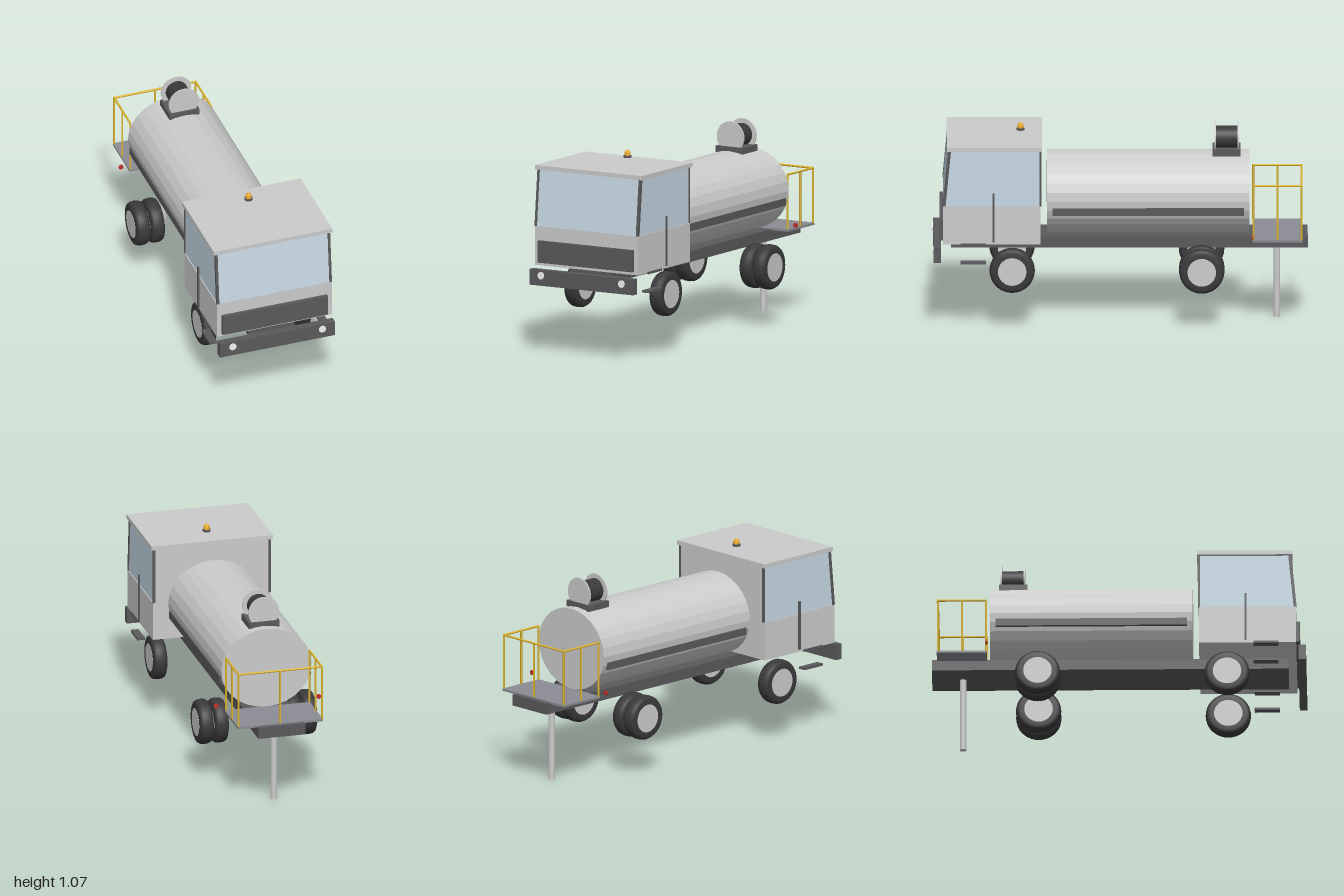
import * as THREE from 'three';

const mat = (color, extra = {}) => new THREE.MeshStandardMaterial({ color, ...extra });

export function createModel() {
  const model = new THREE.Group();
  const grey = mat(0xcccccc);
  const flatGrey = mat(0xcccccc, { flatShading: true });
  const dark = mat(0x5a5a5c);
  const rubber = mat(0x3a3a3c);
  const glass = mat(0xc6d8e3);
  const deck = mat(0x8c8d94);
  const yellow = mat(0xe0b830);
  const amber = mat(0xe8a92c);
  const red = mat(0xc03028);
  const lamp = mat(0xf4f4ee);

  const add = (name, geometry, material, x = 0, y = 0, z = 0) => {
    const mesh = new THREE.Mesh(geometry, material);
    mesh.name = name;
    mesh.position.set(x, y, z);
    model.add(mesh);
    return mesh;
  };
  // Box given by its limits on each axis
  const box = (name, material, [x0, x1], [y0, y1], [z0, z1]) =>
    add(name, new THREE.BoxGeometry(x1 - x0, y1 - y0, z1 - z0), material,
      (x0 + x1) / 2, (y0 + y1) / 2, (z0 + z1) / 2);
  // Box limits on the x axis for either side
  const sideSpan = (s, a, b) => (s > 0 ? [a, b] : [-b, -a]);
  // Cylinder lying along z
  const zDisc = (name, material, r, depth, x, y, z, seg = 32) =>
    add(name, new THREE.CylinderGeometry(r, r, depth, seg).rotateX(Math.PI / 2), material, x, y, z);
  // Round bar between two points
  const bar = (name, material, a, b, r) => {
    const from = new THREE.Vector3(...a), to = new THREE.Vector3(...b);
    const dir = to.clone().sub(from);
    const mesh = add(name, new THREE.CylinderGeometry(r, r, dir.length(), 8), material);
    mesh.position.copy(from).add(to).multiplyScalar(0.5);
    mesh.quaternion.setFromUnitVectors(new THREE.Vector3(0, 1, 0), dir.normalize());
  };
  // Outline in (z, y) extruded across x
  const sidePanel = (name, material, points, [x0, x1]) => {
    const shape = new THREE.Shape(points.map(([z, y]) => new THREE.Vector2(-z, y)));
    const g = new THREE.ExtrudeGeometry(shape, { depth: x1 - x0, bevelEnabled: false });
    add(name, g.rotateY(Math.PI / 2), material, x0);
  };

  // Chassis, bumper and headlights
  box('chassis', dark, [-0.13, 0.13], [0.41, 0.47], [-1, 0.9]);
  box('bumper', dark, [-0.325, 0.325], [0.375, 0.46], [0.955, 0.995]);
  for (const s of [-1, 1]) zDisc('headlight', lamp, 0.02, 0.01, s * 0.253, 0.43, 0.995);

  // Cab with raked glazing
  box('cabBody', grey, [-0.325, 0.325], [0.475, 0.685], [0.425, 0.943]);
  sidePanel('cabGlass', glass, [[0.43, 0.685], [0.943, 0.685], [0.914, 0.985], [0.43, 0.985]], [-0.32, 0.32]);
  box('cabBackPanel', grey, [-0.32, 0.32], [0.685, 0.985], [0.423, 0.431]);
  box('cabRoof', grey, [-0.335, 0.335], [0.987, 1.01], [0.415, 0.923]);
  box('grille', dark, [-0.297, 0.297], [0.492, 0.61], [0.94, 0.962]);
  for (const s of [-1, 1]) {
    sidePanel('frontPillar', dark, [[0.93, 0.685], [0.946, 0.685], [0.917, 0.987], [0.901, 0.987]],
      sideSpan(s, 0.311, 0.325));
    box('rearPillar', dark, sideSpan(s, 0.313, 0.325), [0.685, 0.987], [0.42, 0.43]);
    box('grabBar', dark, sideSpan(s, 0.331, 0.339), [0.49, 0.757], [0.669, 0.68]);
    for (const y of [0.475, 0.373])
      box('cabStep', dark, sideSpan(s, 0.29, 0.332), [y - 0.006, y + 0.006], [0.715, 0.85]);
  }

  // Roof beacon
  add('beaconBase', new THREE.CylinderGeometry(0.021, 0.021, 0.012, 20), dark, 0, 1.03, 0.53);
  const dome = [[0.017, 0], [0.017, 0.014], [0.012, 0.023], [0.005, 0.029], [0, 0.031]];
  add('beaconLens', new THREE.LatheGeometry(dome.map(p => new THREE.Vector2(...p)), 20), amber, 0, 1.036, 0.53);

  // Wheels: single in front, twin at the rear
  const tyreProfile = [[0.075, -0.037], [0.1, -0.037], [0.112, -0.032], [0.119, -0.02], [0.121, 0],
    [0.119, 0.02], [0.112, 0.032], [0.1, 0.037], [0.075, 0.037]].map(p => new THREE.Vector2(...p));
  const tyreGeo = new THREE.LatheGeometry(tyreProfile, 36).rotateZ(Math.PI / 2);
  const hubGeo = new THREE.CylinderGeometry(0.076, 0.076, 0.075, 32).rotateZ(Math.PI / 2);
  for (const s of [-1, 1])
    for (const [x, z, name] of [[0.268, 0.575, 'front'], [0.286, -0.435, 'rearOuter'], [0.203, -0.435, 'rearInner']]) {
      add(name + 'Tyre', tyreGeo, rubber, s * x, 0.32, z);
      add(name + 'Hub', hubGeo, grey, s * x, 0.32, z);
    }

  // Oval tank with side strips
  const tank = zDisc('tank', flatGrey, 1, 1.08, 0, 0.69, -0.15, 28);
  tank.scale.set(0.25, 0.221, 1);
  for (const s of [-1, 1])
    box('tankSideStrip', dark, sideSpan(s, 0.235, 0.253), [0.615, 0.655], [-0.66, 0.36]);

  // Hose reel on the tank
  box('reelBase', dark, [-0.085, 0.085], [0.9, 0.934], [-0.642, -0.492]);
  zDisc('reelDrum', rubber, 0.06, 0.12, 0, 0.985, -0.568);
  for (const z of [-0.507, -0.63]) zDisc('reelFlange', grey, 0.085, 0.008, 0, 0.985, z);

  // Rear platform and railing
  box('platform', deck, [-0.235, 0.235], [0.465, 0.477], [-0.973, -0.705]);
  const rx = 0.23, zf = -0.71, zb = -0.967, top = 0.773;
  const posts = [[0, zb]];
  for (const s of [-1, 1]) {
    posts.push([s * rx, zf], [s * rx, (zf + zb) / 2], [s * rx, zb]);
    bar('sideRail', yellow, [s * rx, top, zf], [s * rx, top, zb], 0.006);
  }
  for (const [x, z] of posts) bar('railPost', yellow, [x, 0.475, z], [x, top + 0.004, z], 0.0055);
  bar('backRail', yellow, [-rx, top, zb], [rx, top, zb], 0.006);

  // Tail lamps and discharge pipe
  for (const s of [-1, 1]) zDisc('tailLamp', red, 0.013, 0.008, s * 0.283, 0.505, -0.707, 16);
  add('dischargePipe', new THREE.CylinderGeometry(0.0175, 0.0175, 0.42, 20), grey, 0, 0.21, -0.835);

  return model;
}
